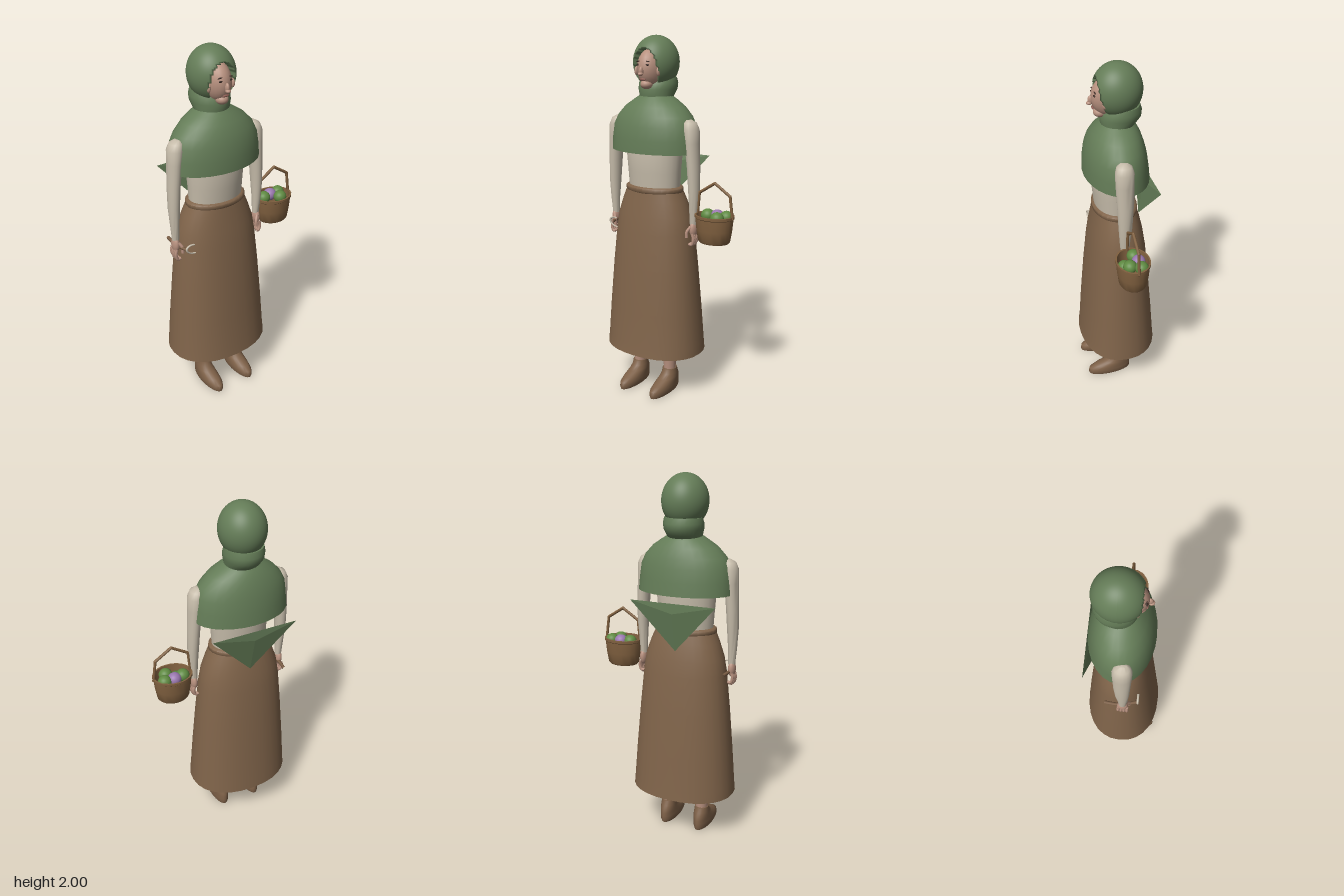
import * as THREE from 'three';
import { toCreasedNormals } from 'three/addons/utils/BufferGeometryUtils.js';

const mat = (name, color, side = THREE.FrontSide) => {
  const m = new THREE.MeshStandardMaterial({ color, side });
  m.name = name;
  return m;
};

// Stacks oval rings [y, centreX, halfWidth, zFront, zBack] from bottom to top.
function loft(rings, { segs = 28, e = 1, caps = true } = {}) {
  const pos = [], idx = [];
  const bend = v => Math.sign(v) * Math.abs(v) ** e;
  const ring = ([y, cx, w, f, b]) => {
    for (let j = 0; j < segs; j++) {
      const a = (j / segs) * Math.PI * 2;
      pos.push(cx + w * bend(Math.sin(a)), y, (f + b) / 2 + ((f - b) / 2) * bend(Math.cos(a)));
    }
  };
  rings.forEach(ring);
  for (let i = 0; i < rings.length - 1; i++) for (let j = 0; j < segs; j++) {
    const k = (j + 1) % segs, p = i * segs, q = p + segs;
    idx.push(p + j, p + k, q + k, p + j, q + k, q + j);
  }
  if (caps) [rings[0], rings[rings.length - 1]].forEach((r, top) => {
    const c = pos.length / 3;
    pos.push(r[1], r[0], (r[3] + r[4]) / 2);
    ring(r);
    for (let j = 0; j < segs; j++) {
      const p = c + 1 + j, q = c + 1 + (j + 1) % segs;
      idx.push(c, top ? p : q, top ? q : p);
    }
  });
  const g = new THREE.BufferGeometry();
  g.setAttribute('position', new THREE.Float32BufferAttribute(pos, 3));
  g.setIndex(idx);
  return toCreasedNormals(g, 0.9);
}

function tube(points, r, steps = 14) {
  const curve = new THREE.CatmullRomCurve3(points.map(p => new THREE.Vector3(...p)));
  return new THREE.TubeGeometry(curve, steps, r, 8);
}

export function createModel() {
  const D = THREE.DoubleSide;
  const green = mat('green cloth', 0x647c57, D), brown = mat('brown skirt', 0x80644a, D);
  const cream = mat('cream linen', 0xc6bcaa), skin = mat('skin', 0xb8917f);
  const leather = mat('shoe leather', 0x7d6047), wicker = mat('wicker', 0x80603f, D);
  const apple = mat('apple green', 0x5f8a42), plum = mat('plum purple', 0x9a78b0);
  const dark = mat('dark eyes', 0x3a2a24), lip = mat('lips', 0x8f5f55);

  const model = new THREE.Group(), body = new THREE.Group();
  body.name = 'woman';
  body.position.x = -0.105;
  model.add(body);
  const add = (name, geo, m, parent = body) => {
    const mesh = new THREE.Mesh(geo, m);
    mesh.name = name;
    parent.add(mesh);
    return mesh;
  };
  const ball = (name, m, p, s, parent = body) => {
    const mesh = add(name, new THREE.SphereGeometry(1, 24, 16), m, parent);
    mesh.position.set(...p);
    mesh.scale.set(...s);
    return mesh;
  };

  // Skirt, open at the hem, with a waistband
  add('skirt', loft([
    [0.25, 0, 0.295, 0.222, -0.218], [0.31, 0, 0.29, 0.214, -0.212], [0.5, 0, 0.276, 0.2, -0.198],
    [0.75, 0, 0.255, 0.178, -0.176], [0.95, 0, 0.235, 0.157, -0.157], [1.04, 0, 0.22, 0.144, -0.143],
    [1.12, 0, 0.192, 0.13, -0.125], [1.18, 0, 0.165, 0.12, -0.108],
  ], { e: 0.9, caps: false }), brown);
  add('waistband', loft([
    [1.165, 0, 0.165, 0.12, -0.108], [1.173, 0, 0.173, 0.128, -0.116],
    [1.192, 0, 0.173, 0.128, -0.116], [1.2, 0, 0.163, 0.118, -0.106],
  ]), brown);

  // Blouse and shoulder cape
  add('blouse', loft([
    [1.17, 0, 0.152, 0.112, -0.1], [1.28, 0, 0.158, 0.122, -0.106],
    [1.4, 0, 0.168, 0.13, -0.115], [1.52, 0, 0.17, 0.11, -0.11],
  ]), cream);
  add('shoulderCape', loft([
    [1.39, 0, 0.265, 0.17, -0.175], [1.46, 0, 0.259, 0.168, -0.168], [1.53, 0, 0.249, 0.158, -0.158],
    [1.58, 0, 0.225, 0.142, -0.145], [1.63, 0, 0.178, 0.118, -0.128], [1.665, 0, 0.125, 0.09, -0.108],
    [1.685, 0, 0.092, 0.072, -0.09],
  ], { caps: false }), green);

  // Pointed shawl end hanging behind the waist
  const A = [-0.24, 1.355, -0.18], B = [0.24, 1.355, -0.18], C = [0, 1.09, -0.137];
  const F = [0, 1.3, -0.16], K = [0, 1.3, -0.182];
  const shawl = new THREE.BufferGeometry();
  shawl.setAttribute('position', new THREE.Float32BufferAttribute(
    [A, C, F, C, B, F, B, A, F, C, A, K, B, C, K, A, B, K].flat(), 3));
  shawl.computeVertexNormals();
  add('shawlPoint', shawl, green);

  // Hood with a recessed opening for the face, and a wrap under the chin
  const hood = new THREE.SphereGeometry(1, 72, 56);
  hood.scale(0.122, 0.14, 0.13);
  hood.translate(0, 1.86, -0.015);
  const hp = hood.attributes.position;
  for (let i = 0; i < hp.count; i++) {
    const inside = Math.hypot(hp.getX(i) / 0.07, (hp.getY(i) - 1.825) / 0.105) < 1;
    if (inside && hp.getZ(i) > 0.05) hp.setZ(i, 0.05);
  }
  hood.computeVertexNormals();
  add('hood', hood, green);
  add('chinWrap', loft([
    [1.665, 0, 0.092, 0.072, -0.09], [1.69, 0, 0.095, 0.075, -0.115], [1.72, 0, 0.104, 0.078, -0.138],
    [1.75, 0, 0.107, 0.07, -0.14], [1.78, 0, 0.1, 0.05, -0.13],
  ]), green);

  // Face
  ball('face', skin, [0, 1.83, 0.03], [0.068, 0.104, 0.092]);
  ball('chin', skin, [0, 1.748, 0.075], [0.033, 0.026, 0.036]);
  ball('nose', skin, [0, 1.818, 0.122], [0.011, 0.024, 0.016]);
  ball('noseTip', skin, [0, 1.803, 0.13], [0.014, 0.01, 0.015]);
  ball('mouth', lip, [0, 1.775, 0.112], [0.021, 0.006, 0.006]);

  for (const s of [1, -1]) {
    const side = s > 0 ? 'left' : 'right';
    ball(side + 'Eye', dark, [s * 0.028, 1.85, 0.11], [0.012, 0.005, 0.005]);
    const brow = ball(side + 'Brow', dark, [s * 0.029, 1.867, 0.107], [0.016, 0.003, 0.004]);
    brow.rotation.z = -s * 0.12;
    ball(side + 'Ear', skin, [s * 0.071, 1.815, 0.066], [0.01, 0.024, 0.016]);

    // Sleeve
    add(side + 'Sleeve', loft([
      [1.01, s * 0.262, 0.019, 0.04, 0], [1.1, s * 0.264, 0.024, 0.049, -0.006],
      [1.2, s * 0.264, 0.03, 0.056, -0.018], [1.32, s * 0.259, 0.033, 0.061, -0.026],
      [1.45, s * 0.25, 0.037, 0.067, -0.031], [1.52, s * 0.243, 0.042, 0.068, -0.033],
      [1.555, s * 0.236, 0.034, 0.058, -0.022], [1.57, s * 0.23, 0.014, 0.038, 0],
    ], { segs: 18 }), cream);

    // Hand with curled fingers
    ball(side + 'Palm', skin, [s * 0.264, 0.983, 0.02], [0.02, 0.045, 0.03]);
    for (let i = 0; i < 4; i++) {
      const z = -0.004 + i * 0.016, d = i === 0 ? 0.01 : 0;
      add(side + 'Finger', tube([[s * 0.27, 0.965, z], [s * 0.277, 0.93 + d, z],
        [s * 0.267, 0.901 + d, z], [s * 0.25, 0.903 + d, z]], 0.0085, 10), skin);
    }
    add(side + 'Thumb', tube([[s * 0.258, 1.0, 0.04], [s * 0.243, 0.972, 0.055],
      [s * 0.242, 0.94, 0.056]], 0.009, 8), skin);

    // Leg and shoe
    const x = s * 0.105;
    add(side + 'Leg', loft([
      [0.08, x, 0.032, 0.05, -0.02], [0.18, x, 0.036, 0.054, -0.024],
      [0.3, x, 0.046, 0.066, -0.034], [0.5, x, 0.055, 0.07, -0.045],
    ], { segs: 16 }), skin);
    add(side + 'Shoe', loft([
      [0, x, 0.043, 0.2, -0.055], [0.015, x, 0.049, 0.205, -0.06], [0.038, x, 0.049, 0.2, -0.06],
      [0.058, x, 0.047, 0.165, -0.058], [0.078, x, 0.045, 0.108, -0.054], [0.1, x, 0.042, 0.073, -0.042],
      [0.128, x, 0.039, 0.06, -0.03],
    ], { segs: 24 }), leather);
  }

  // Small sickle in the right hand
  add('sickleHandle', tube([[-0.25, 0.97, -0.08], [-0.255, 0.97, 0], [-0.235, 0.97, 0.095]], 0.009), leather);
  const blade = add('sickleBlade', new THREE.TorusGeometry(0.042, 0.006, 8, 24, Math.PI * 1.15), cream);
  blade.position.set(-0.203, 0.972, 0.1);
  blade.rotation.z = Math.PI * 0.42;
  blade.scale.x = 0.6;

  // Basket with a peaked handle and fruit
  const basket = new THREE.Group();
  basket.name = 'fruitBasket';
  basket.position.set(0.285, 0, 0.015);
  model.add(basket);
  const wall = [[0, 0.93], [0.082, 0.93], [0.09, 0.94], [0.1, 1.0], [0.106, 1.062], [0.111, 1.066],
    [0.111, 1.08], [0.101, 1.08], [0.092, 1.0], [0.084, 0.965], [0, 0.965]];
  const pot = add('basketBowl', toCreasedNormals(
    new THREE.LatheGeometry(wall.map(p => new THREE.Vector2(...p)), 24), 0.7), wicker, basket);
  pot.scale.z = 0.82;
  const peak = [[-0.105, 1.07], [-0.094, 1.19], [0, 1.25], [0.092, 1.19], [0.108, 1.07]];
  for (let i = 0; i < 4; i++) {
    const [p, q] = [peak[i], peak[i + 1]].map(v => new THREE.Vector3(v[0], v[1], 0));
    add('basketHandle', new THREE.TubeGeometry(new THREE.LineCurve3(p, q), 1, 0.008, 8), wicker, basket);
    ball('handleJoint', wicker, q.toArray(), [0.008, 0.008, 0.008], basket);
  }
  const fruit = [[apple, -0.052, -0.018], [plum, 0, -0.03], [apple, 0.056, -0.03], [apple, 0.03, 0.025],
    [apple, -0.035, 0.036, 1.02]];
  for (const [m, x, z, y = 1.068] of fruit)
    ball(m === plum ? 'plum' : 'apple', m, [x, y, z], [0.037, 0.035, 0.036], basket);

  return model;
}
